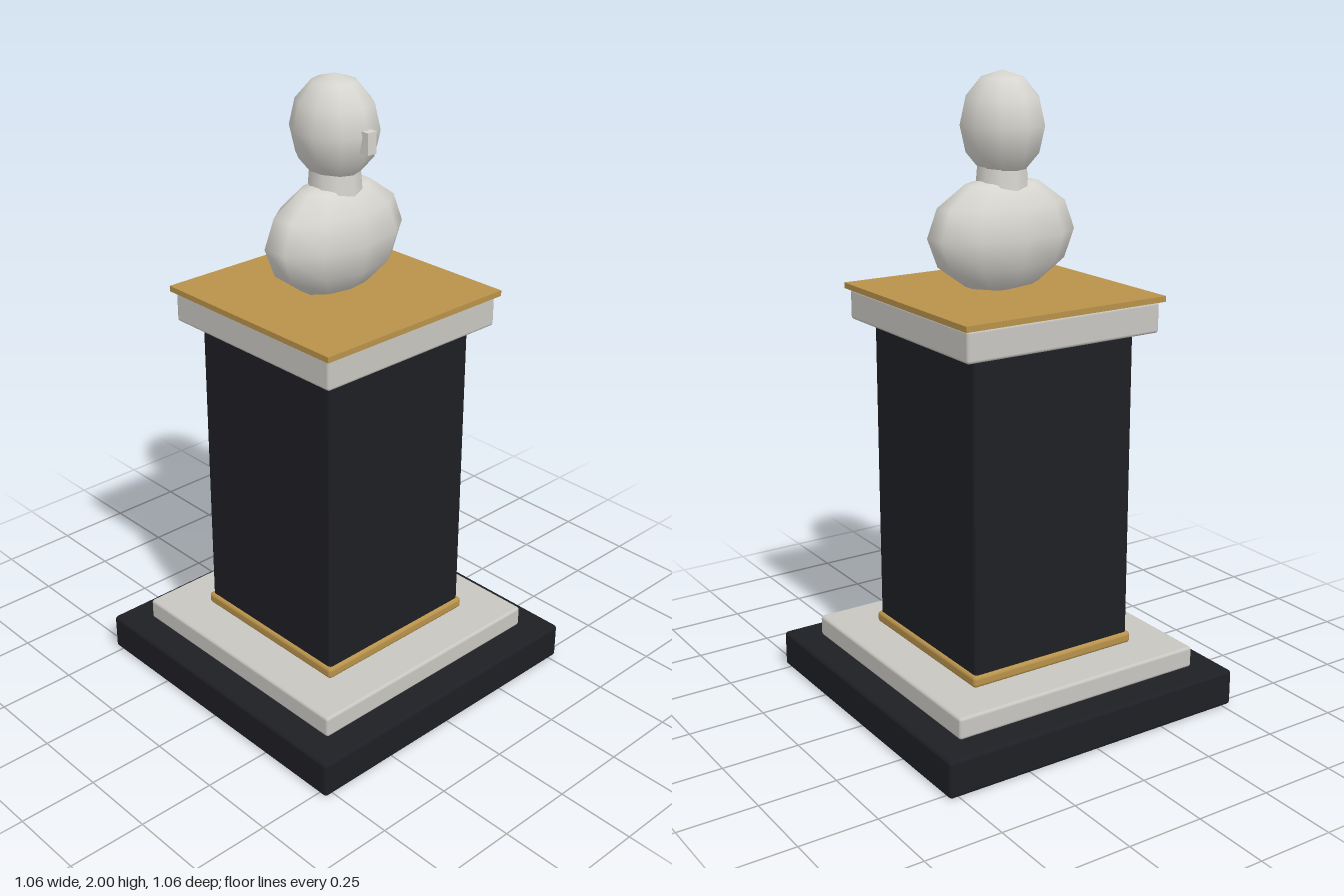
import * as THREE from 'three';
import { RoundedBoxGeometry } from 'three/addons/geometries/RoundedBoxGeometry.js';

export function createModel() {
  const model = new THREE.Group();
  const material = (color) => new THREE.MeshStandardMaterial({ color });
  const black = material(0x1e1f24);
  const stone = material(0xc8c6c1);
  const gold = material(0xb8924a);
  const marble = material(0xd6d4ce);

  function add(parent, name, geometry, mat, x, y, z) {
    const mesh = new THREE.Mesh(geometry, mat);
    mesh.name = name;
    mesh.position.set(x, y, z);
    parent.add(mesh);
    return mesh;
  }

  // Square pedestal slabs: name, width, bottom, top, edge radius, material
  const pedestal = new THREE.Group();
  pedestal.name = 'pedestal';
  model.add(pedestal);
  const slabs = [
    ['plinth', 1.064, 0, 0.12, 0.012, black],
    ['step', 0.88, 0.12, 0.19, 0.01, stone],
    ['lowerTrim', 0.6, 0.187, 0.225, 0.012, gold],
    ['shaft', 0.58, 0.215, 1.222, 0.012, black],
    ['cap', 0.69, 1.22, 1.318, 0.01, stone],
    ['topPlate', 0.715, 1.318, 1.336, 0, gold],
  ];
  for (const [name, width, bottom, top, radius, mat] of slabs) {
    const height = top - bottom;
    const geometry = radius
      ? new RoundedBoxGeometry(width, height, width, 2, radius)
      : new THREE.BoxGeometry(width, height, width);
    add(pedestal, name, geometry, mat, 0, (bottom + top) / 2, 0);
  }

  // Coarse smooth ellipsoid with a vertex line facing front and back
  const ellipsoid = (rx, ry, rz) =>
    new THREE.SphereGeometry(1, 10, 6).rotateY(Math.PI / 2).scale(rx, ry, rz);

  // Bust
  const bust = new THREE.Group();
  bust.name = 'bust';
  model.add(bust);
  add(bust, 'shoulders', ellipsoid(0.253, 0.18, 0.14), marble, 0, 1.51, 0);
  add(bust, 'neck', new THREE.CylinderGeometry(0.075, 0.085, 0.12, 10), marble, 0, 1.69, 0);
  add(bust, 'head', ellipsoid(0.13, 0.16, 0.141), marble, 0, 1.84, -0.002);
  add(bust, 'nose', new THREE.BoxGeometry(0.034, 0.066, 0.05), marble, 0, 1.825, 0.131);

  return model;
}
